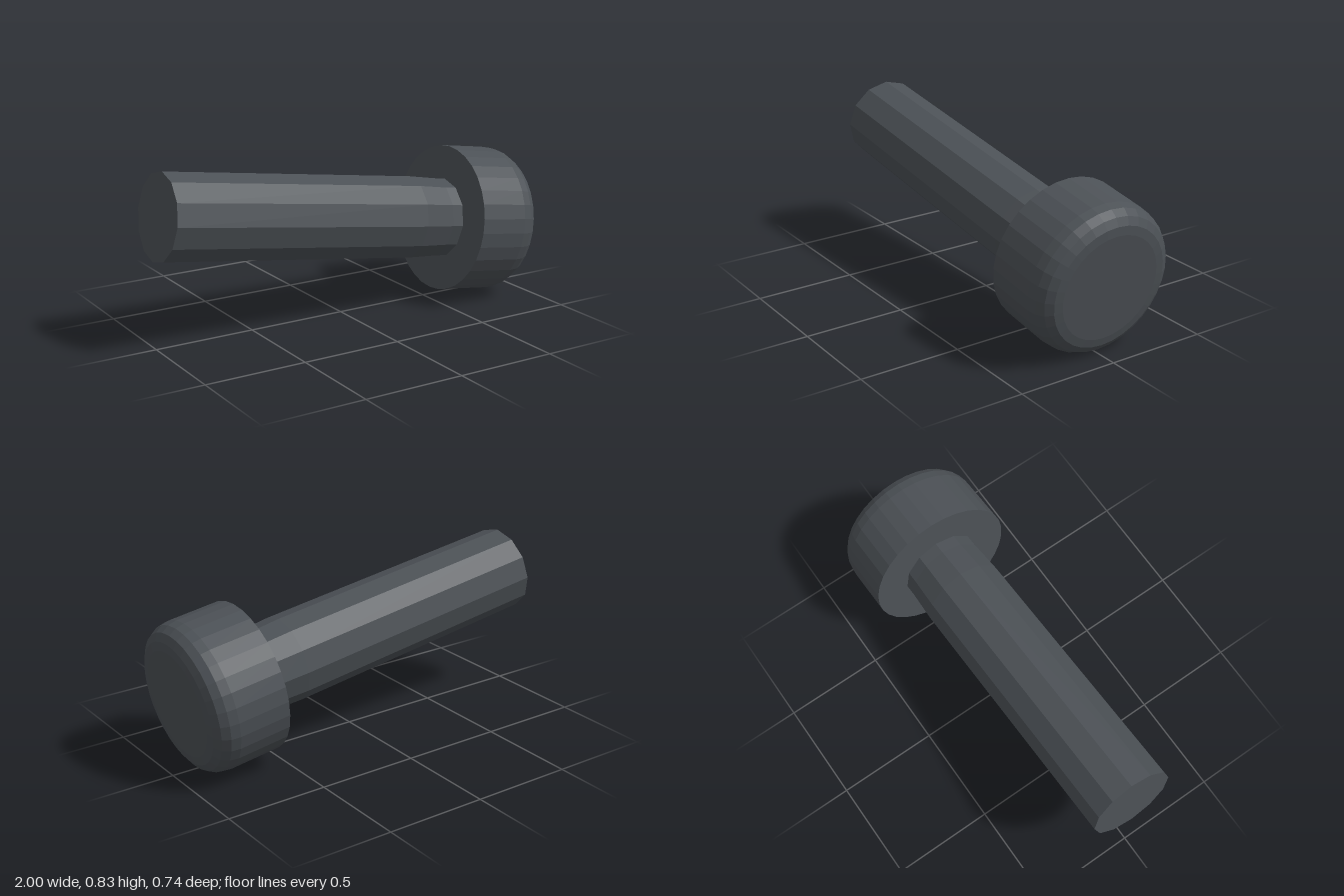
import * as THREE from 'three';

export function createModel() {
  const model = new THREE.Group();
  model.name = 'bolt';
  const material = new THREE.MeshStandardMaterial({ color: 0x4c5156, flatShading: true });

  // Local +y runs along the shank toward the head; origin is the head's underside
  const tilt = THREE.MathUtils.degToRad(8.2);
  const body = new THREE.Group();
  body.name = 'boltBody';
  body.position.set(0.595, 0.407, 0);
  body.rotation.z = -Math.PI / 2 - tilt;
  model.add(body);

  // Turned part from [radius, height] pairs
  const turned = (name, profile, sides) => {
    const points = profile.map(([r, y]) => new THREE.Vector2(r, y));
    const mesh = new THREE.Mesh(new THREE.LatheGeometry(points, sides), material);
    mesh.name = name;
    body.add(mesh);
  };

  // Cylindrical head with a rounded outer rim
  turned('head', [
    [0, 0], [0.369, 0], [0.368, 0.26], [0.36, 0.305], [0.338, 0.342],
    [0.302, 0.364], [0.26, 0.37], [0, 0.37],
  ], 32);

  // Faceted shank, slightly slimmer where it meets the head
  turned('shank', [
    [0, -1.581], [0.21, -1.581], [0.21, -0.22], [0.202, -0.06], [0.202, 0.02], [0, 0.02],
  ], 12);

  return model;
}
